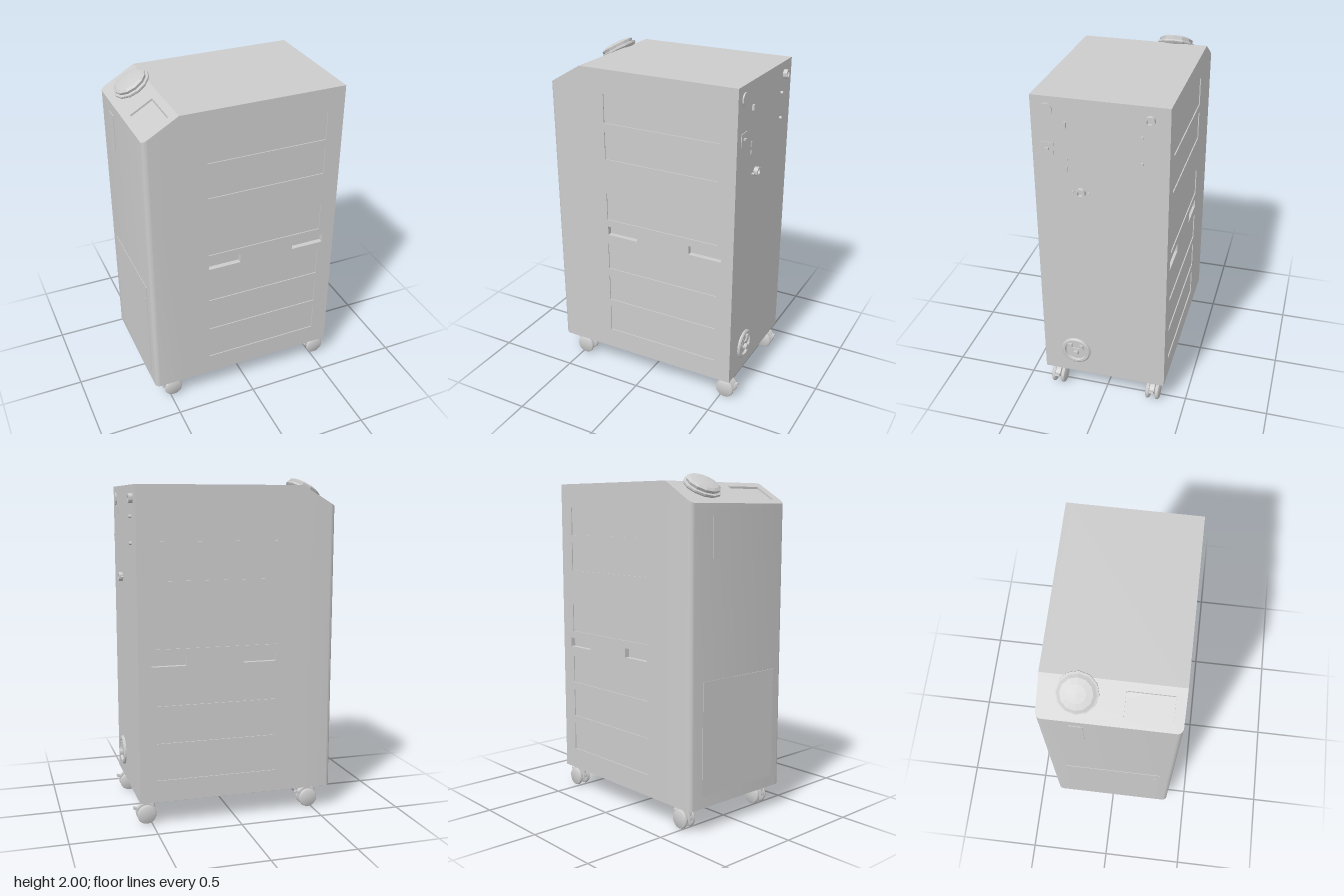
import * as THREE from 'three';
import { toCreasedNormals } from 'three/addons/utils/BufferGeometryUtils.js';

const X0 = -0.605, XC = -0.40, X1 = 0.575, Y0 = 0.14, Y1 = 1.955, ZH = 0.375;
const slope = (Y1 - 1.835) / (XC - X0);
const chamferY = (x) => 1.835 + (x - X0) * slope;

export function createModel() {
  const model = new THREE.Group();
  const mat = new THREE.MeshStandardMaterial({ color: 0xcccccc });
  const flatMat = new THREE.MeshStandardMaterial({ color: 0xcccccc, flatShading: true, side: THREE.DoubleSide });

  const add = (name, geo, x = 0, y = 0, z = 0, parent = model, m = mat) => {
    const mesh = new THREE.Mesh(geo, m);
    mesh.name = name;
    mesh.position.set(x, y, z);
    parent.add(mesh);
    return mesh;
  };
  const box = (name, w, h, d, x, y, z, parent) => add(name, new THREE.BoxGeometry(w, h, d), x, y, z, parent);
  const lathe = (pts, seg = 32) =>
    toCreasedNormals(new THREE.LatheGeometry(pts.map(([r, y]) => new THREE.Vector2(r, y)), seg), 0.6);
  const rectPath = (x0, y0, x1, y1, P = THREE.Path) => {
    const p = new P();
    p.moveTo(x0, y0).lineTo(x1, y0).lineTo(x1, y1).lineTo(x0, y1).closePath();
    return p;
  };

  // Rear cabinet: a core plus layered side panels with shallow bands and deeper hand grips
  box('cabinetCore', X1 - XC, Y1 - Y0, 2 * 0.345, (X1 + XC) / 2, (Y0 + Y1) / 2, 0);
  const grips = [[-0.245, -0.045], [0.295, 0.5]].map(([a, b]) => rectPath(a, 0.94, b, 0.995));
  const bands = [1.813, 1.594, 1.21, 0.88, 0.66, 0.44].map((t) => rectPath(-0.248, t - 0.17, 0.474, t));
  const panel = (name, z, depth, holes) => {
    const s = rectPath(XC, Y0, X1, Y1, THREE.Shape);
    s.holes.push(...holes);
    add(name, new THREE.ExtrudeGeometry(s, { depth, bevelEnabled: false }), 0, 0, z);
  };
  panel('frontInnerPanel', 0.345, 0.024, grips);
  panel('frontOuterPanel', 0.369, 0.006, [...grips, ...bands]);
  panel('backInnerPanel', -0.369, 0.024, grips);
  panel('backOuterPanel', -0.375, 0.006, [...grips, ...bands]);

  // Sloped end of the cabinet: rounded footprint whose top follows the chamfer
  const slopedBlock = (name, bottom, top, holes = []) => {
    const r = 0.03, s = new THREE.Shape();
    s.moveTo(XC, -ZH).lineTo(XC, ZH).lineTo(X0 + r, ZH);
    s.absarc(X0 + r, ZH - r, r, Math.PI / 2, Math.PI, false);
    s.lineTo(X0, -ZH + r);
    s.absarc(X0 + r, -ZH + r, r, Math.PI, Math.PI * 1.5, false);
    s.closePath();
    s.holes.push(...holes);
    const g = new THREE.ExtrudeGeometry(s, { depth: 1, bevelEnabled: false, curveSegments: 6 });
    g.rotateX(-Math.PI / 2);
    const p = g.attributes.position;
    for (let i = 0; i < p.count; i++) {
      p.setY(i, p.getY(i) > 0.5 ? top(p.getX(i)) : bottom(p.getX(i)));
    }
    add(name, toCreasedNormals(g, 0.5));
  };
  const under = (x) => chamferY(x) - 0.012;
  slopedBlock('slopedEnd', () => Y0, under);
  slopedBlock('displayBezel', under, chamferY, [rectPath(-0.567, -0.32, -0.44, -0.07)]);

  // Thin plates on the narrow end
  box('levelWindow', 0.008, 0.23, 0.075, X0, 1.655, -0.172);
  box('accessPanel', 0.006, 0.656, 0.58, X0, 0.538, 0.01);
  box('panelCatch', 0.012, 0.02, 0.012, X0, 0.76, 0.27);

  // Filler cap standing square to the slope
  const cap = add('fillerCap', new THREE.LatheGeometry([[0.09, -0.01], [0.106, 0.002], [0.112, 0.008],
    [0.112, 0.018], [0.098, 0.022], [0.102, 0.038], [0.085, 0.048], [0.05, 0.054], [0, 0.057]]
    .map(([r, y]) => new THREE.Vector2(r, y)), 12), -0.47, chamferY(-0.47), -0.172, model, flatMat);
  cap.rotation.z = Math.atan(slope);

  // Fittings on the connection side, turned to point along +x
  const onSide = (name, geo, y, z) => {
    geo.rotateZ(-Math.PI / 2);
    return add(name, geo, X1, y, z);
  };
  const disc = (name, r, h, y, z) => onSide(name, lathe([[r, 0], [r, h], [0, h]], 24), y, z);
  disc('roundButton', 0.037, 0.008, 1.88, 0.29);
  [[1.88, -0.27], [1.415, 0.11]].forEach(([y, z]) => {
    onSide('hosePort', lathe([[0.027, 0], [0.027, 0.024], [0.016, 0.024], [0.016, 0.003], [0, 0.003]], 24), y, z);
  });
  [[1.78, -0.228], [1.63, -0.228], [1.415, 0.155], [1.415, 0.065]].forEach(([y, z], i) => {
    disc('screwHead', i < 2 ? 0.009 : 0.006, 0.015, y, z);
  });
  box('switchPlate', 0.008, 0.07, 0.07, X1, 1.66, 0.29);
  box('switchNub', 0.03, 0.01, 0.02, X1, 1.66, 0.29);
  box('toggle', 0.026, 0.032, 0.012, X1, 1.807, 0.187);
  [1.6, 1.55].forEach((y) => box('smallSocket', 0.01, 0.028, 0.01, X1, y, 0.185));

  // Power inlet with flange, well and contacts
  onSide('powerInlet', lathe([[0.09, 0], [0.09, 0.008], [0.082, 0.015], [0.068, 0.015],
    [0.064, 0.002], [0, 0.002]], 40), 0.305, 0.175);
  [0.21, 0.14].forEach((z) => box('contactBlade', 0.03, 0.038, 0.022, X1, 0.332, z));
  box('contactBridge', 0.02, 0.012, 0.06, X1, 0.315, 0.175);
  disc('groundPin', 0.018, 0.028, 0.29, 0.175);

  // Twin-wheel swivel casters with brake pedals
  const wheelGeo = lathe([[0, -0.013], [0.046, -0.013], [0.054, -0.008], [0.057, 0],
    [0.054, 0.008], [0.046, 0.013], [0, 0.013]], 24).rotateX(Math.PI / 2);
  const hood = new THREE.Shape();
  hood.absarc(0, 0, 0.062, 0.35, Math.PI, false);
  hood.lineTo(-0.03, 0).lineTo(0.02, -0.01).closePath();
  const hoodGeo = toCreasedNormals(new THREE.ExtrudeGeometry(hood,
    { depth: 0.03, bevelEnabled: false, curveSegments: 10 }), 0.5).translate(0, 0, -0.015);
  for (const x of [-0.48, 0.53]) {
    for (const z of [-0.302, 0.302]) {
      const caster = new THREE.Group();
      caster.name = 'caster';
      caster.position.set(x, 0.057, z);
      model.add(caster);
      for (const s of [-1, 1]) add('wheel', wheelGeo, 0, 0, s * 0.029, caster);
      add('hood', hoodGeo, 0, 0, 0, caster);
      add('axle', new THREE.CylinderGeometry(0.012, 0.012, 0.07, 12).rotateX(Math.PI / 2), 0, 0, 0, caster);
      add('stem', new THREE.CylinderGeometry(0.013, 0.016, 0.06, 16), -0.04, 0.055, 0, caster);
      add('stemCollar', new THREE.CylinderGeometry(0.02, 0.02, 0.012, 16), -0.04, 0.077, 0, caster);
      box('brakePedal', 0.04, 0.012, 0.03, 0.055, 0.03, 0, caster).rotation.z = 0.35;
    }
  }
  return model;
}
